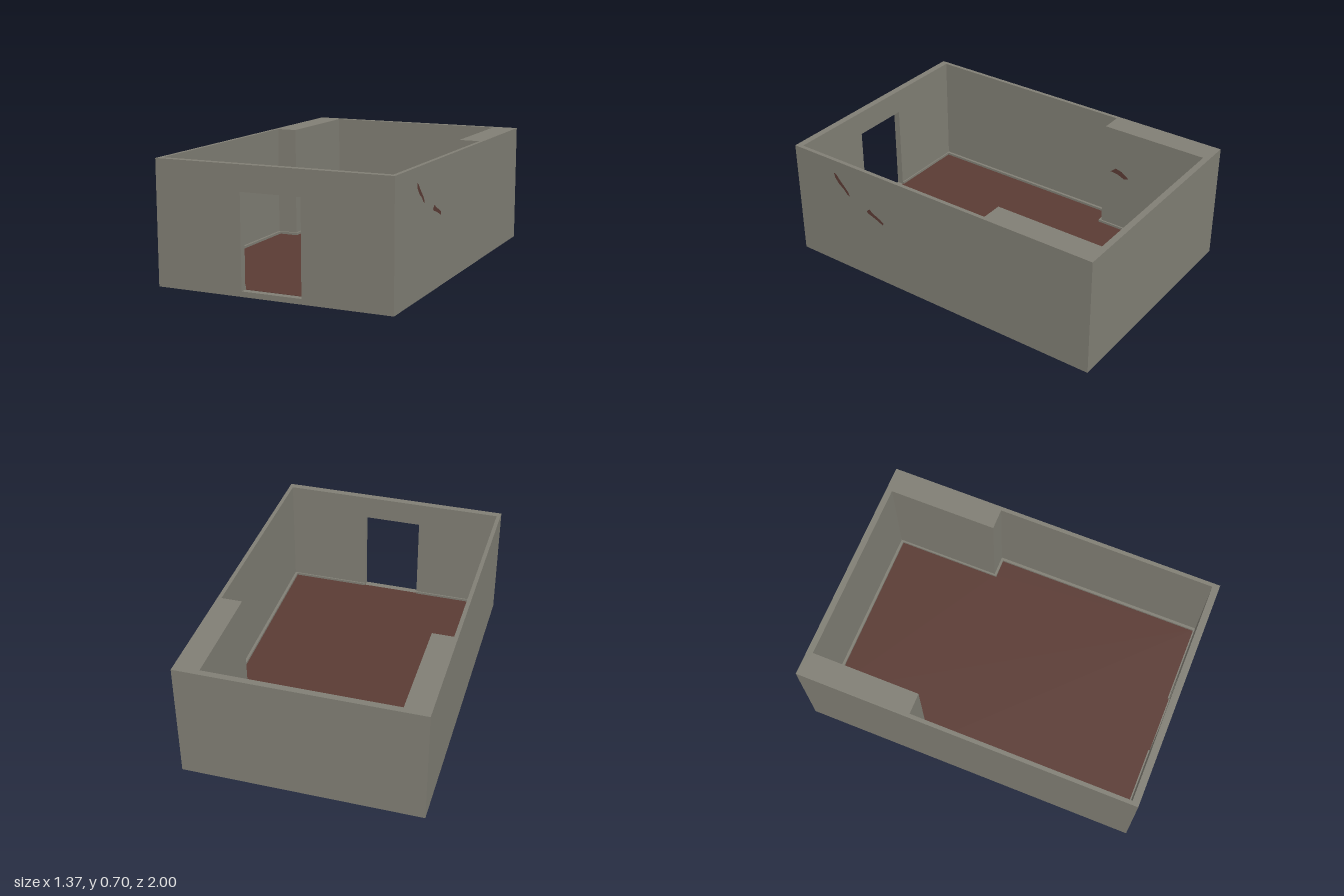
import * as THREE from 'three';

const W = 0.685, H = 0.7, BASE = 0.03, DOOR = 0.175;

const wallMaterial = new THREE.MeshStandardMaterial({ color: 0x807e74 });
wallMaterial.name = 'grey plaster';
const floorMaterial = new THREE.MeshStandardMaterial({ color: 0x5a3b34 });
floorMaterial.name = 'red brown';

const shapeOf = (pts) => new THREE.Shape(pts.map(([a, b]) => new THREE.Vector2(a, b)));

// Room outline as [x, z] points, walked from the front right round the back to the front left
const outline = (wide, narrow, step, back, front) => {
  const half = [[wide, front], [wide, step], [narrow, step], [narrow, back]];
  return [...half, ...half.map(([x, z]) => [-x, z]).reverse()];
};

export function createModel() {
  const model = new THREE.Group();
  model.name = 'room';

  const add = (name, geometry, material) => {
    const mesh = new THREE.Mesh(geometry, material);
    mesh.name = name;
    model.add(mesh);
    return mesh;
  };

  // Extrudes a plan of [x, z] points upwards
  const addPlan = (name, plan, y, height, material) => {
    const shape = shapeOf(plan.map(([x, z]) => [x, -z]));
    const geometry = new THREE.ExtrudeGeometry(shape, { depth: height, bevelEnabled: false });
    geometry.rotateX(-Math.PI / 2).translate(0, y, 0);
    return add(name, geometry, material);
  };

  const room = outline(0.662, 0.54, -0.327, -0.964, 0.96);

  // Base slab and floor covering
  add('baseSlab', new THREE.BoxGeometry(W * 2, BASE, 2).translate(0, BASE / 2, 0), wallMaterial);
  addPlan('floor', room, BASE - 0.002, 0.004, floorMaterial);

  // Side and back walls, with the thick rear corners
  addPlan('sideAndBackWalls',
    [[W, 0.96], [W, -1], [-W, -1], [-W, 0.96], ...[...room].reverse()],
    BASE, H - BASE, wallMaterial);

  // Front wall with the doorway
  const front = shapeOf([[-W, BASE], [-DOOR, BASE], [-DOOR, 0.557], [DOOR, 0.557],
    [DOOR, BASE], [W, BASE], [W, H], [-W, H]]);
  add('frontWall',
    new THREE.ExtrudeGeometry(front, { depth: 0.04, bevelEnabled: false }).translate(0, 0, 0.96),
    wallMaterial);

  // Skirting board, broken at the doorway
  const inner = outline(0.646, 0.53, -0.313, -0.949, 0.952);
  addPlan('skirtingBoard',
    [[DOOR, 0.96], ...room, [-DOOR, 0.96], [-DOOR, 0.952], ...inner.reverse(), [DOOR, 0.952]],
    BASE, 0.016, wallMaterial);

  // Broken plaster patches facing +x, as [z, y] points
  const addPatch = (name, x, pts) => {
    const geometry = new THREE.ShapeGeometry(shapeOf(pts.map(([z, y]) => [-z, y])));
    add(name, geometry.rotateY(Math.PI / 2).translate(x, 0, 0), floorMaterial);
  };
  addPatch('upperCrack', W + 0.001, [[0.71, 0.62], [0.69, 0.61], [0.66, 0.575], [0.635, 0.55],
    [0.612, 0.525], [0.6, 0.497], [0.62, 0.507], [0.645, 0.535], [0.675, 0.555], [0.703, 0.59]]);
  addPatch('lowerCrack', W + 0.001, [[0.48, 0.445], [0.46, 0.465], [0.43, 0.445], [0.385, 0.425],
    [0.36, 0.41], [0.363, 0.393], [0.4, 0.41], [0.44, 0.425], [0.47, 0.435]]);
  addPatch('innerCrack', -0.539, [[-0.375, 0.41], [-0.41, 0.44], [-0.45, 0.43], [-0.5, 0.395],
    [-0.47, 0.385], [-0.42, 0.405]]);

  return model;
}
